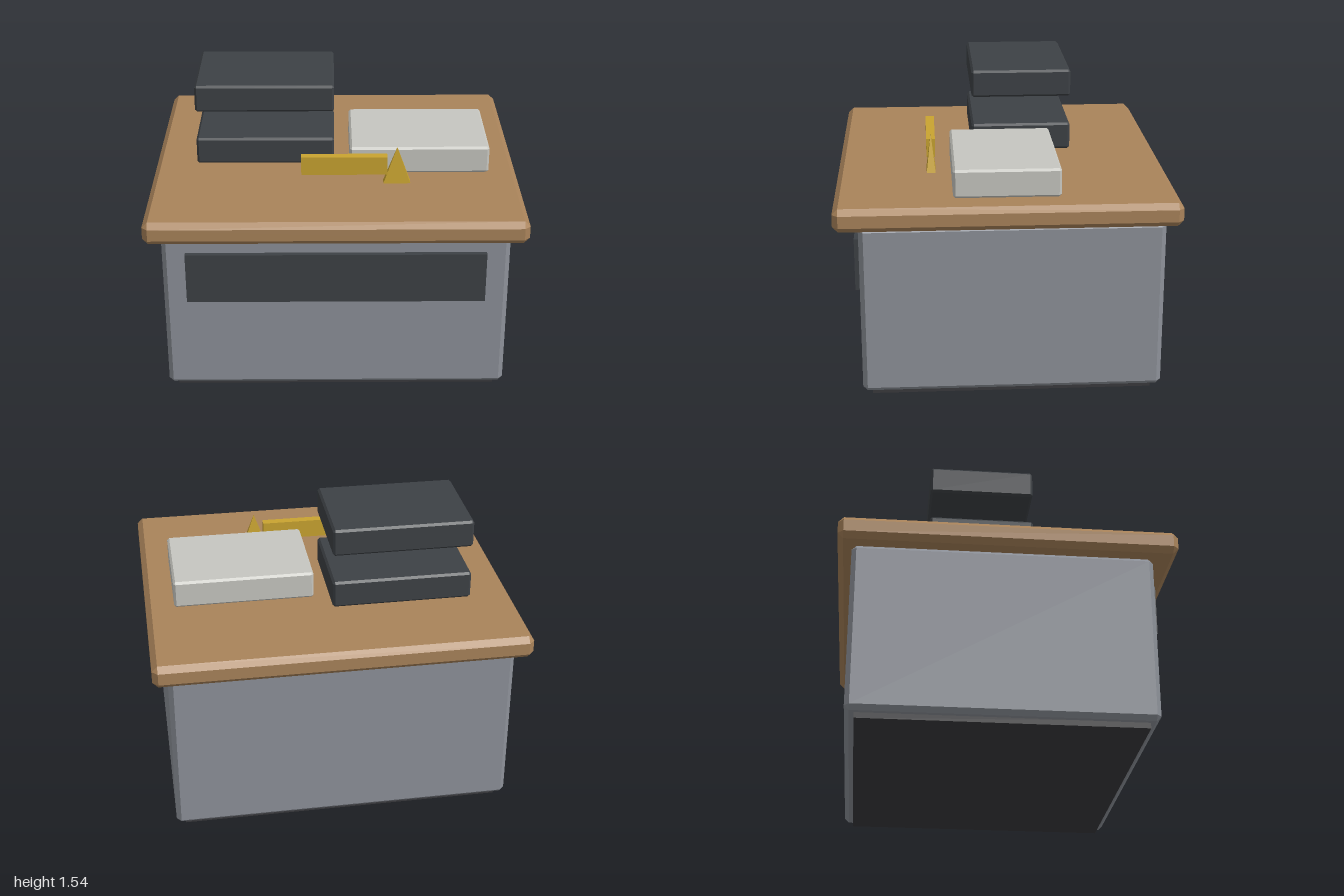
import * as THREE from 'three';
import { ConvexGeometry } from 'three/addons/geometries/ConvexGeometry.js';

const paint = (name, color) => {
  const m = new THREE.MeshStandardMaterial({ color });
  m.name = name;
  return m;
};

// Box between two corners with every edge cut at 45 degrees by c
function chamferBox([x0, y0, z0], [x1, y1, z1], c) {
  const size = [x1 - x0, y1 - y0, z1 - z0];
  const mid = [(x0 + x1) / 2, (y0 + y1) / 2, (z0 + z1) / 2];
  const points = [];
  for (const sx of [-1, 1]) for (const sy of [-1, 1]) for (const sz of [-1, 1]) {
    const s = [sx, sy, sz];
    for (let full = 0; full < 3; full++) {
      points.push(new THREE.Vector3(...s.map((v, i) => mid[i] + v * (size[i] / 2 - (i === full ? 0 : c)))));
    }
  }
  return new ConvexGeometry(points);
}

// Plain box between two corners
function box([x0, y0, z0], [x1, y1, z1]) {
  return new THREE.BoxGeometry(x1 - x0, y1 - y0, z1 - z0)
    .translate((x0 + x1) / 2, (y0 + y1) / 2, (z0 + z1) / 2);
}

export function createModel() {
  const group = new THREE.Group();
  const grey = paint('cabinet grey', 0x8d9199);
  const dark = paint('charcoal', 0x3d4145);
  const black = paint('plinth dark', 0x3a3a3d);
  const wood = paint('wood', 0xa9835a);
  const pale = paint('pale grey', 0xc6c6c0);
  const gold = paint('brass', 0xc9a430);

  const add = (name, geometry, material) => {
    const mesh = new THREE.Mesh(geometry, material);
    mesh.name = name;
    group.add(mesh);
    return mesh;
  };

  // Cabinet
  add('plinth', box([-0.87, 0, -0.77], [0.87, 0.04, 0.72]), black);
  add('cabinet', chamferBox([-0.92, 0.03, -0.82], [0.92, 0.955, 0.77], 0.025), grey);
  add('frontPanel', box([-0.795, 0.567, 0.76], [0.795, 0.85, 0.798]), dark);
  add('counterTop', chamferBox([-1, 0.955, -0.895], [1, 1.08, 0.895], 0.03), wood);

  // Trays on and above the counter
  for (const [name, y] of [['lowerTray', 1.08], ['upperTray', 1.39]]) {
    add(name, chamferBox([-0.77, y, -0.41], [-0.005, y + 0.152, 0.15], 0.012), dark);
  }
  add('paleTray', chamferBox([0.08, 1.08, -0.28], [0.845, 1.232, 0.28], 0.012), pale);

  // Brass nameplate bar ending in a slim pyramid
  add('nameBar', box([-0.185, 1.132, 0.363], [0.28, 1.235, 0.411]), gold);
  const pyramid = new THREE.ConeGeometry(Math.SQRT2, 1, 4).toNonIndexed()
    .rotateY(Math.PI / 4).scale(0.073, 0.205, 0.024).translate(0.333, 1.1825, 0.387);
  pyramid.computeVertexNormals();
  add('pyramid', pyramid, gold);

  return group;
}
